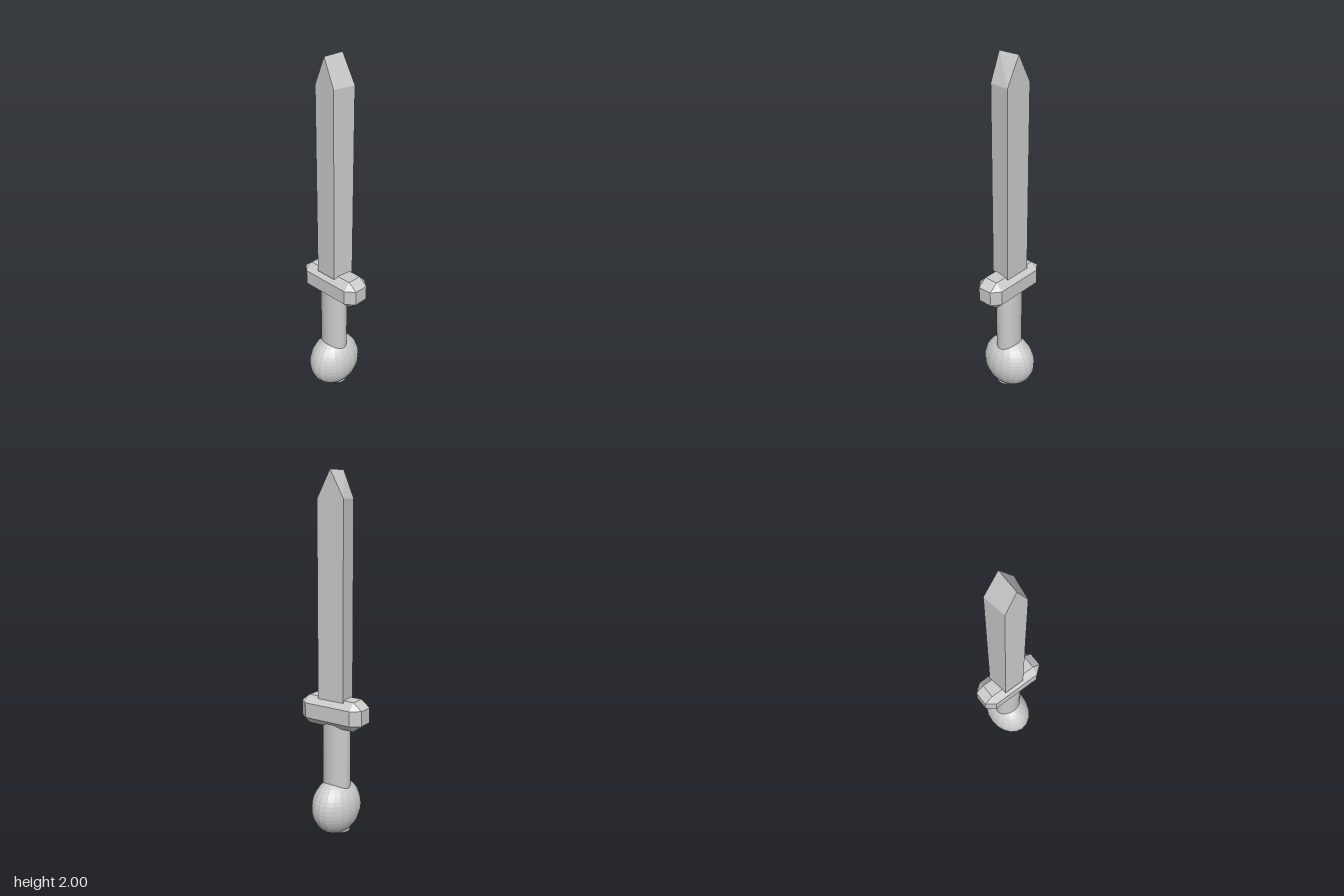
import * as THREE from 'three';
import { ConvexGeometry } from 'three/addons/geometries/ConvexGeometry.js';

const material = new THREE.MeshStandardMaterial({ color: 0xcccccc, flatShading: true });
const V = (x, y, z) => new THREE.Vector3(x, y, z);

function addPart(group, name, geometry, x = 0, y = 0, z = 0) {
  const mesh = new THREE.Mesh(geometry, material);
  mesh.name = name;
  mesh.position.set(x, y, z);
  group.add(mesh);
  return mesh;
}

// Box with every edge chamfered; (x, y, z) are half sizes, c* the chamfers
function chamferedBox(x, y, z, cx, cy, cz) {
  const points = [];
  for (const i of [-1, 1]) for (const j of [-1, 1]) for (const k of [-1, 1]) {
    points.push(
      V(i * x, j * (y - cy), k * (z - cz)),
      V(i * (x - cx), j * y, k * (z - cz)),
      V(i * (x - cx), j * (y - cy), k * z));
  }
  return new ConvexGeometry(points);
}

// Pointed blade: wide outline at the back, narrower outline at the front
function bladeGeometry() {
  const points = [];
  for (const [half, z] of [[0.082, -0.058], [0.062, 0.066]]) {
    points.push(V(-half, 0.79, z), V(half, 0.79, z), V(half, 1.855, z), V(-half, 1.855, z), V(0, 2, z));
  }
  return new ConvexGeometry(points);
}

export function createModel() {
  const sword = new THREE.Group();
  sword.name = 'sword';
  const axis = -0.008; // blade, handle and pommel share this x

  addPart(sword, 'blade', bladeGeometry(), axis);
  addPart(sword, 'guard', chamferedBox(0.197, 0.082, 0.081, 0.051, 0.04, 0.04), -0.001, 0.718, -0.001);

  // Oval handle, running down through the pommel
  const handle = new THREE.CylinderGeometry(1, 1, 0.66, 32).scale(0.082, 1, 0.066);
  addPart(sword, 'handle', handle, axis, 0.352, 0.002);

  // Flattened ball pommel
  const pommel = new THREE.SphereGeometry(1, 20, 20).scale(0.128, 0.16, 0.164);
  addPart(sword, 'pommel', pommel, axis, 0.161, 0);

  return sword;
}
